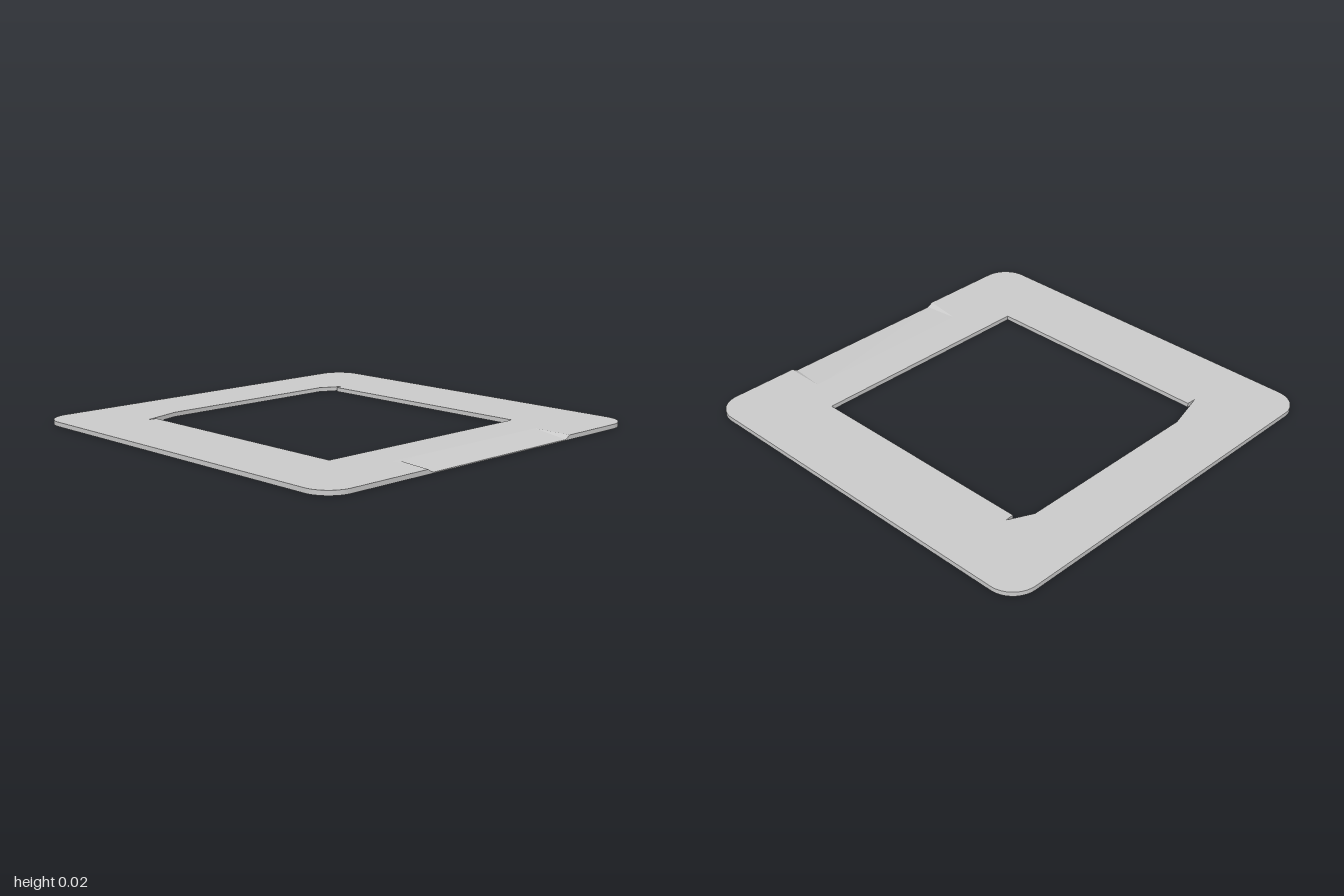
import * as THREE from 'three';
import { mergeGeometries, toCreasedNormals } from 'three/addons/utils/BufferGeometryUtils.js';

const T = 0.022;          // plate thickness
const R = 0.13;           // corner radius
const LIP = 0.005;        // front edge height in the finger recess
const RAMP_Z = 0.8;       // where the recess starts to slope down
const RECESS_X = [-0.43, -0.40, 0.50, 0.53];
const RECESS_Y = [T, LIP, LIP, T];

// Plan shapes use (x, -z), so a counter-clockwise path walks +x along the front
function outline(notched) {
  const s = new THREE.Shape();
  const c = 1 - R;
  s.moveTo(-c, -1);
  if (notched) {
    s.lineTo(RECESS_X[0], -1);
    RECESS_X.forEach(x => s.lineTo(x, -RAMP_Z));
    s.lineTo(RECESS_X[3], -1);
  } else {
    RECESS_X.forEach(x => s.lineTo(x, -1));
  }
  s.lineTo(c, -1);
  s.absarc(c, -c, R, -Math.PI / 2, 0);
  s.absarc(c, c, R, 0, Math.PI / 2);
  s.absarc(-c, c, R, Math.PI / 2, Math.PI);
  s.absarc(-c, -c, R, Math.PI, Math.PI * 1.5);
  return s;
}

// Window opening with two small flared notches at the back corners
const opening = [
  [-0.61, 0.6], [-0.61, -0.615], [-0.66, -0.617], [-0.45, -0.675],
  [0.53, -0.675], [0.65, -0.617], [0.605, -0.615], [0.605, 0.6],
].map(([x, z]) => new THREE.Vector2(x, -z));

function cap(shape, y, down) {
  shape.holes.push(new THREE.Path(opening));
  const g = new THREE.ShapeGeometry(shape, 8).toNonIndexed();
  g.deleteAttribute('uv');
  g.rotateX(-Math.PI / 2).translate(0, y, 0);
  if (down) {
    const p = g.attributes.position;
    for (let i = 0; i < p.count; i += 3) {
      const a = new THREE.Vector3().fromBufferAttribute(p, i + 1);
      p.setXYZ(i + 1, p.getX(i + 2), p.getY(i + 2), p.getZ(i + 2));
      p.setXYZ(i + 2, a.x, a.y, a.z);
    }
  }
  return g;
}

function quads(list) {
  const pos = list.flatMap(([a, b, c, d]) => [a, b, c, a, c, d].flat());
  const g = new THREE.BufferGeometry();
  g.setAttribute('position', new THREE.Float32BufferAttribute(pos, 3));
  g.computeVertexNormals();
  return g;
}

// Vertical edge around a closed contour, lowered along the recess
function wall(points) {
  const top = p => {
    const i = RECESS_X.findIndex(x => Math.abs(x - p.x) < 1e-6);
    return i >= 0 && p.y < -0.99 ? RECESS_Y[i] : T;
  };
  return quads(points.map((a, i) => {
    const b = points[(i + 1) % points.length];
    return [[a.x, 0, -a.y], [b.x, 0, -b.y], [b.x, top(b), -b.y], [a.x, top(a), -a.y]];
  }));
}

export function createModel() {
  const group = new THREE.Group();
  const material = new THREE.MeshStandardMaterial({ color: 0xcccccc });
  const add = (name, parts) => {
    const merged = mergeGeometries(parts);
    merged.computeVertexNormals();
    const mesh = new THREE.Mesh(toCreasedNormals(merged, 0.5), material);
    mesh.name = name;
    group.add(mesh);
  };

  // Flat frame: top, underside, outer edge and opening edge
  const rim = outline(false).getPoints(8);
  rim.pop();
  add('framePlate', [cap(outline(true), T, false), cap(outline(false), 0, true), wall(rim), wall(opening)]);

  // Sloping finger recess at the front edge
  const ramp = [0, 1, 2].map(i => {
    const [x0, x1] = [RECESS_X[i], RECESS_X[i + 1]];
    return [[x0, RECESS_Y[i], 1], [x1, RECESS_Y[i + 1], 1], [x1, T, RAMP_Z], [x0, T, RAMP_Z]];
  });
  add('frontRecess', [quads(ramp)]);
  return group;
}
